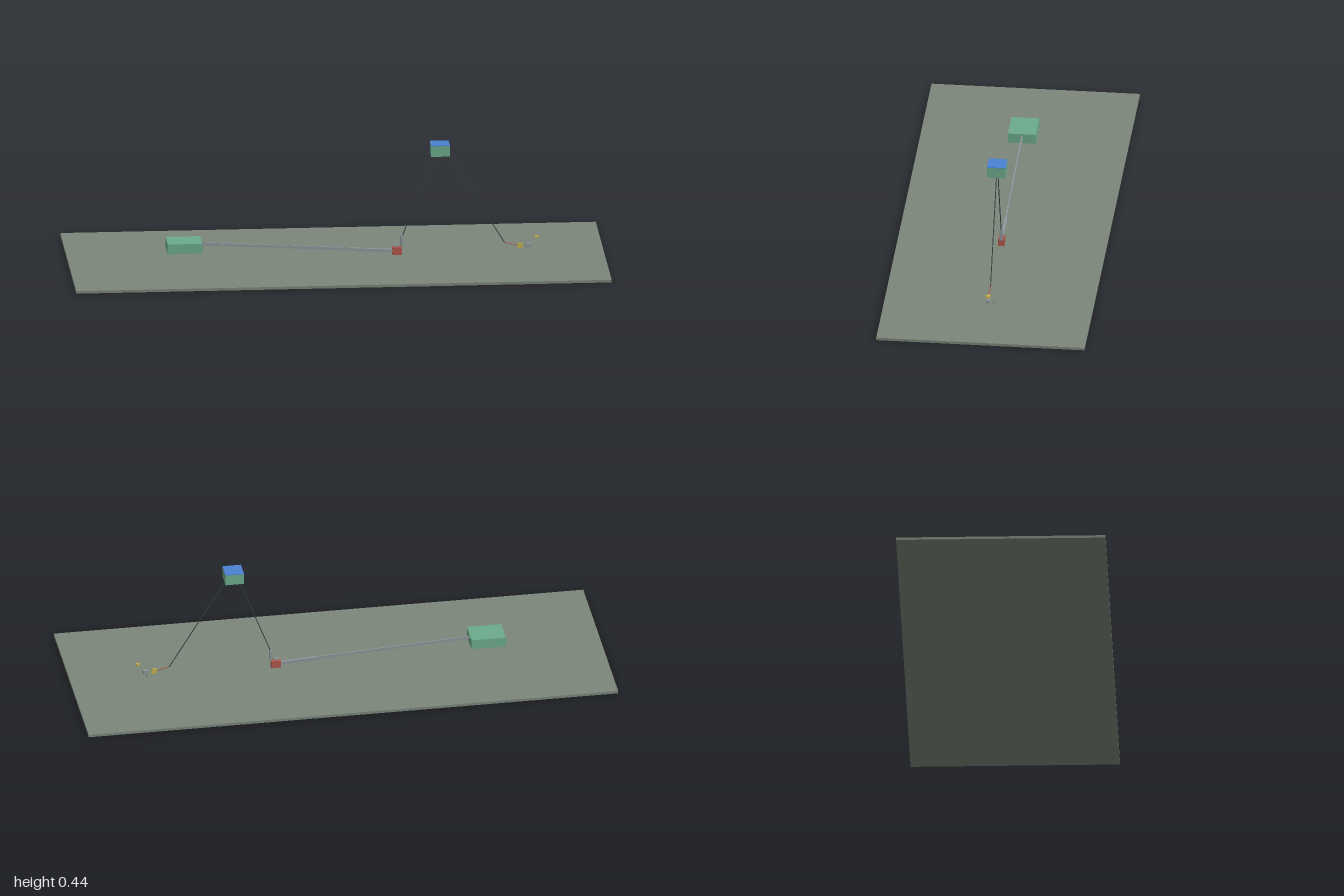
import * as THREE from 'three';

const material = (name, color) => {
  const m = new THREE.MeshStandardMaterial({ color });
  m.name = name;
  return m;
};

export function createModel() {
  const model = new THREE.Group();
  const ground = material('grey green ground', 0x7b8679);
  const green = material('green casing', 0x6dab8c);
  const blue = material('blue panel', 0x4a82d2);
  const red = material('red joint', 0xb0574c);
  const grey = material('grey metal', 0x8f969b);
  const dark = material('dark cable', 0x3c4146);
  const yellow = material('yellow fitting', 0xc4b04e);

  const add = (name, geometry, mat, x, y, z = 0) => {
    const mesh = new THREE.Mesh(geometry, mat);
    mesh.name = name;
    mesh.position.set(x, y, z);
    model.add(mesh);
    return mesh;
  };
  const box = (name, mat, w, h, d, x, y, z) =>
    add(name, new THREE.BoxGeometry(w, h, d), mat, x, y, z);

  // Straight bar or cable between two points in the z = 0 plane
  const link = (name, mat, [x0, y0], [x1, y1], makeGeometry) => {
    const length = Math.hypot(x1 - x0, y1 - y0);
    const mesh = add(name, makeGeometry(length), mat, (x0 + x1) / 2, (y0 + y1) / 2);
    mesh.rotation.z = Math.atan2(y1 - y0, x1 - x0);
    return mesh;
  };
  const round = (r) => (length) =>
    new THREE.CylinderGeometry(r, r, length, 10).rotateZ(Math.PI / 2);
  const flat = (h, d) => (length) => new THREE.BoxGeometry(length, h, d);

  // Base slab
  box('base', ground, 2, 0.01, 0.78, 0, 0.005);

  // Low housing and raised housing with its top panel
  box('lowHousing', green, 0.13, 0.038, 0.104, -0.568, 0.066);
  box('raisedHousing', green, 0.07, 0.041, 0.07, 0.388, 0.4185);
  box('topPanel', blue, 0.07, 0.002, 0.07, 0.388, 0.44);

  // Long arm with its thicker sleeve, ending in the red joint
  link('arm', grey, [-0.505, 0.07], [0.215, 0.028], flat(0.011, 0.005));
  link('armSleeve', grey, [0.07, 0.036], [0.215, 0.028], flat(0.011, 0.011));
  box('joint', red, 0.036, 0.029, 0.023, 0.228, 0.0285);
  box('jointCap', grey, 0.02, 0.006, 0.01, 0.225, 0.047);
  box('upright', grey, 0.008, 0.045, 0.013, 0.246, 0.063);

  // Cables to and from the raised housing
  link('risingCable', dark, [0.248, 0.085], [0.37, 0.4], round(0.0017));
  link('fallingCable', dark, [0.415, 0.4], [0.63, 0.05], round(0.0017));
  link('leadCable', red, [0.63, 0.05], [0.678, 0.038], round(0.0015));

  // Small fittings at the cable end
  const wheel = new THREE.CylinderGeometry(0.011, 0.011, 0.008, 20).rotateX(Math.PI / 2);
  add('endWheel', wheel, yellow, 0.687, 0.037);
  box('endBlock', grey, 0.02, 0.013, 0.013, 0.719, 0.037);
  box('endTab', yellow, 0.012, 0.008, 0.012, 0.749, 0.071);
  add('sidePin', new THREE.SphereGeometry(0.002, 10, 8), dark, 0.719, 0.033, -0.02);

  return model;
}
